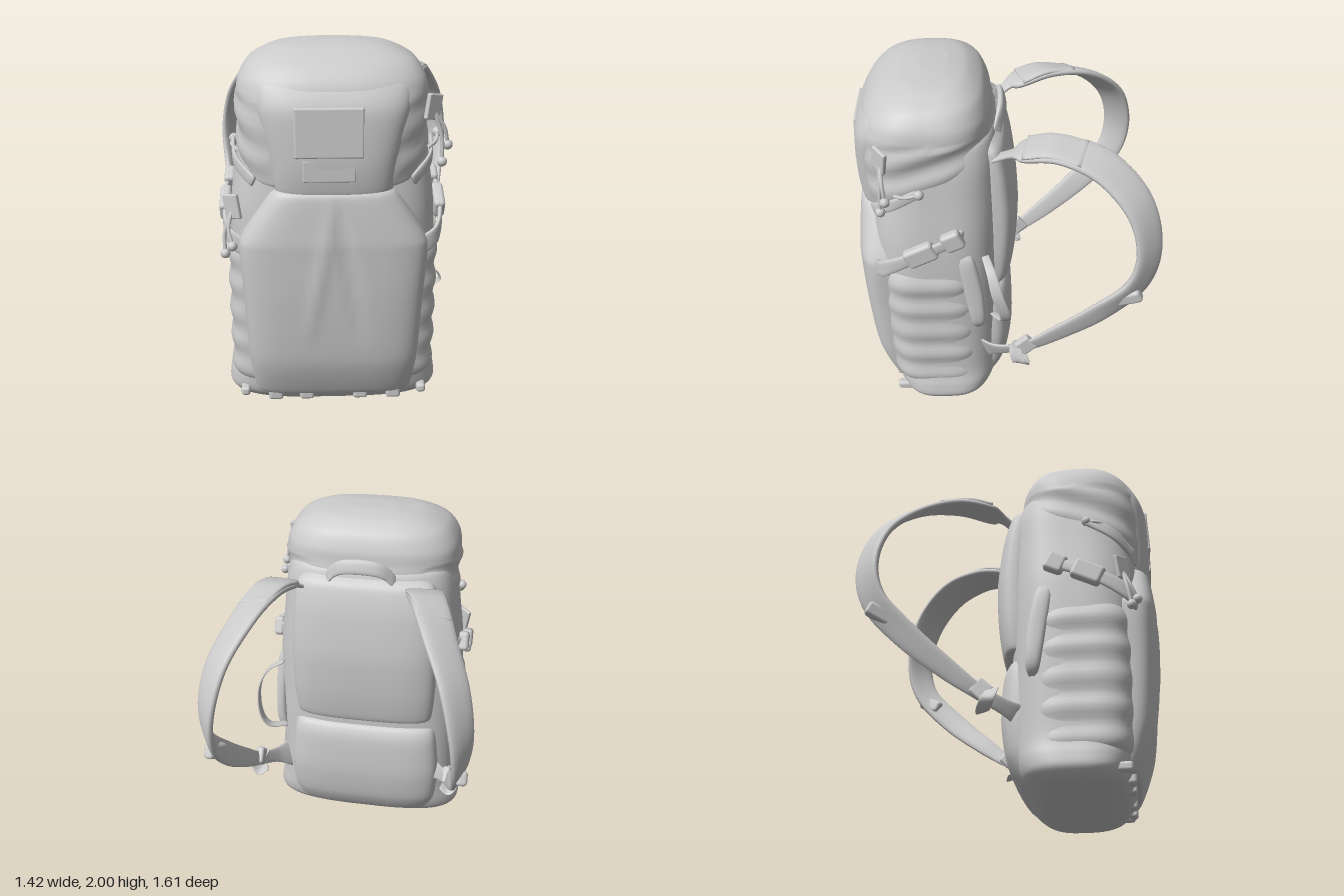
import * as THREE from 'three';
import { RoundedBoxGeometry } from 'three/addons/geometries/RoundedBoxGeometry.js';

const mat = new THREE.MeshStandardMaterial({ color: 0xcccccc, roughness: 0.8 });
const V = (x, y, z) => new THREE.Vector3(x, y, z);
const CX = -0.045; // the sack sits slightly off centre

function add(parent, name, geo, x = 0, y = 0, z = 0) {
  const m = new THREE.Mesh(geo, mat);
  m.name = name;
  m.position.set(x, y, z);
  parent.add(m);
  return m;
}

// Skin a list of closed rings of points and cap both ends.
function skin(rings) {
  const n = rings[0].length, pos = [], idx = [];
  rings.forEach(r => r.forEach(p => pos.push(p.x, p.y, p.z)));
  for (let i = 0; i < rings.length - 1; i++) for (let j = 0; j < n; j++) {
    const a = i * n + j, b = i * n + (j + 1) % n;
    idx.push(a, b, b + n, a, b + n, a + n);
  }
  [0, rings.length - 1].forEach((i, end) => {
    const c = V(0, 0, 0), k = pos.length / 3;
    rings[i].forEach(p => c.addScaledVector(p, 1 / n));
    pos.push(c.x, c.y, c.z);
    for (let j = 0; j < n; j++) {
      const a = i * n + j, b = i * n + (j + 1) % n;
      if (end) idx.push(k, a, b); else idx.push(k, b, a);
    }
  });
  const g = new THREE.BufferGeometry();
  g.setAttribute('position', new THREE.Float32BufferAttribute(pos, 3));
  g.setIndex(idx);
  g.computeVertexNormals();
  return g;
}

// Superellipse point on the unit square, evenly spread by angle.
function superPoint(a, e) {
  const c = Math.cos(a), s = Math.sin(a);
  const r = Math.pow(Math.abs(c) ** e + Math.abs(s) ** e, -1 / e);
  return [r * c, r * s];
}

// Stuffed volume from rows [y, halfWidth, zBack, zFront, tilt]; warp may move each point.
function stuffed(rows, e, warp = () => {}, sub = 6) {
  const A = new THREE.CatmullRomCurve3(rows.map(r => V(r[0], r[1], r[4] || 0)), false, 'catmullrom', 0.4);
  const B = new THREE.CatmullRomCurve3(rows.map(r => V(r[2], r[3], 0)), false, 'catmullrom', 0.4);
  const N = (rows.length - 1) * sub, rings = [];
  for (let i = 0; i <= N; i++) {
    const a = A.getPoint(i / N), b = B.getPoint(i / N), ring = [];
    for (let j = 0; j < 96; j++) {
      const [c, s] = superPoint(j / 96 * Math.PI * 2, e);
      const p = V(CX + a.y * s, a.x, (b.x + b.y) / 2 + (b.y - b.x) / 2 * c);
      p.y += a.z * (0.4 - p.z);
      warp(p);
      ring.push(p);
    }
    rings.push(ring);
  }
  return skin(rings);
}

// Band along points [x, y, z, wx, wy, wz, width, thickness], w being the width direction.
function band(pts, s = 1, dx = 0, sub = 8) {
  const curve = f => new THREE.CatmullRomCurve3(pts.map(f), false, 'catmullrom', 0.5);
  const P = curve(p => V(s * p[0] + dx, p[1], p[2])), W = curve(p => V(s * p[3], p[4], p[5]));
  const S = curve(p => V(p[6], p[7], 0)), N = (pts.length - 1) * sub, rings = [];
  for (let i = 0; i <= N; i++) {
    const t = i / N, o = P.getPoint(t), tan = P.getTangent(t), w = W.getPoint(t), d = S.getPoint(t);
    w.addScaledVector(tan, -w.dot(tan)).normalize();
    const v = tan.clone().cross(w), ring = [];
    for (let j = 0; j < 20; j++) {
      const [a, b] = superPoint(j / 20 * Math.PI * 2, 3.5);
      ring.push(o.clone().addScaledVector(w, a * d.x / 2).addScaledVector(v, b * d.y / 2));
    }
    rings.push(ring);
  }
  return skin(rings);
}

const box = (w, h, d) => new RoundedBoxGeometry(w, h, d, 3, Math.min(w, h, d) * 0.35);
const gauss = (x, w) => Math.exp(-(x * x) / (w * w));

export function createModel() {
  const g = new THREE.Group();
  g.name = 'backpack';

  // Main sack with a rounded base and a slight rim
  add(g, 'mainSack', stuffed([
    [0, 0.25, 0.22, 0.42], [0.012, 0.4, 0.16, 0.5], [0.05, 0.53, 0.1, 0.585], [0.1, 0.575, 0.05, 0.63],
    [0.17, 0.57, 0.02, 0.655], [0.3, 0.545, 0, 0.68], [0.8, 0.545, 0, 0.71], [1.15, 0.535, 0, 0.72],
    [1.4, 0.505, 0, 0.7], [1.6, 0.48, 0.01, 0.66], [1.72, 0.44, 0.04, 0.6], [1.76, 0.36, 0.1, 0.55]], 3.3));

  // Quilted side pockets, one volume showing on both sides
  add(g, 'sidePockets', stuffed([
    [0.16, 0.52, 0.14, 0.62], [0.22, 0.548, 0.09, 0.66], [0.45, 0.552, 0.08, 0.68],
    [0.75, 0.552, 0.09, 0.69], [0.95, 0.55, 0.11, 0.68], [1.02, 0.52, 0.16, 0.64]], 4,
    p => { p.x += Math.sign(p.x - CX) * 0.008 * Math.sin((p.y - 0.2) * Math.PI * 2 / 0.165); }, 10));

  // Front stretch panel with two pleats fanning from the top
  add(g, 'frontPanel', stuffed([
    [0.115, 0.39, 0.4, 0.62], [0.13, 0.425, 0.38, 0.67], [0.35, 0.45, 0.4, 0.75], [0.7, 0.468, 0.42, 0.785],
    [0.97, 0.485, 0.42, 0.795], [1.06, 0.465, 0.42, 0.795], [1.27, 0.335, 0.42, 0.775], [1.31, 0.3, 0.45, 0.74]], 4,
    p => {
      if (p.z < 0.66) return;
      const k = Math.min(1, Math.max(0, (1.3 - p.y) / 0.85)), fade = Math.sin(Math.PI * k);
      p.z += fade * (0.012 * gauss(p.x + 0.05 + 0.13 * k, 0.035) - 0.016 * gauss(p.x + 0.04 - 0.15 * k, 0.03));
    }, 8));

  // Lid with its sloping lower edge and loose folds at the sides
  add(g, 'lid', stuffed([
    [1.47, 0.44, 0.1, 0.68, 0.5], [1.47, 0.485, 0.06, 0.73, 0.5], [1.58, 0.485, 0.04, 0.75, 0.35],
    [1.73, 0.49, 0.05, 0.755, 0.1], [1.83, 0.475, 0.06, 0.72, 0], [1.915, 0.415, 0.1, 0.65, 0],
    [1.975, 0.29, 0.18, 0.54, 0], [1.998, 0.12, 0.28, 0.42, 0]], 3,
    p => {
      const side = Math.abs(p.x - CX);
      if (side > 0.3 && p.y < 1.75) p.x += Math.sign(p.x - CX) * 0.01 * Math.sin(p.y * 38 + p.z * 14);
    }));
  add(g, 'lidFrontFlap', stuffed([
    [1.27, 0.28, 0.5, 0.74], [1.3, 0.305, 0.48, 0.765], [1.45, 0.325, 0.46, 0.785],
    [1.7, 0.38, 0.45, 0.775], [1.82, 0.385, 0.45, 0.72], [1.88, 0.35, 0.45, 0.66]], 3.2));
  add(g, 'lidPatch', box(0.34, 0.25, 0.03), -0.07, 1.61, 0.768).rotation.x = -0.04;
  add(g, 'lidPatchLower', box(0.26, 0.11, 0.02), -0.07, 1.42, 0.774);

  // Back padding
  add(g, 'upperBackPad', stuffed([
    [0.8, 0.36, 0, 0.15], [0.82, 0.395, -0.05, 0.15], [1.0, 0.41, -0.08, 0.15], [1.25, 0.41, -0.09, 0.15],
    [1.5, 0.4, -0.06, 0.15], [1.65, 0.38, -0.015, 0.15], [1.7, 0.32, 0.04, 0.15]], 2.9));
  add(g, 'lumbarPad', stuffed([
    [0.06, 0.36, 0.12, 0.3], [0.1, 0.41, 0.04, 0.28], [0.23, 0.44, -0.03, 0.25], [0.43, 0.45, -0.06, 0.24],
    [0.65, 0.43, -0.05, 0.22], [0.73, 0.41, -0.02, 0.2], [0.76, 0.37, 0.03, 0.2]], 3.3));

  // Grab handle
  add(g, 'grabHandle', band([
    [-0.22, 1.64, 0.04, 0, 1, 0.3, 0.05, 0.015], [-0.18, 1.72, 0.02, 0, 1, 0.3, 0.06, 0.02],
    [-0.1, 1.77, 0, 0, 1, 0.3, 0.08, 0.035], [0.06, 1.77, 0, 0, 1, 0.3, 0.08, 0.035],
    [0.14, 1.72, 0.02, 0, 1, 0.3, 0.06, 0.02], [0.18, 1.64, 0.04, 0, 1, 0.3, 0.05, 0.015]]));

  // Webbing tabs under the front panel
  [-0.36, -0.19, 0.1, 0.28].forEach(x => add(g, 'bottomTab', box(0.08, 0.07, 0.05), x, 0.1, 0.615));

  for (const s of [1, -1]) {
    const side = new THREE.Group();
    side.name = s > 0 ? 'leftSide' : 'rightSide';
    g.add(side);

    // Shoulder strap: narrow webbing, padded arc that twists, webbing back to the base
    add(side, 'shoulderStrap', band([
      [0.3, 1.6, 0.06, 0.95, 0, 0.3, 0.08, 0.025], [0.36, 1.67, -0.04, 0.95, 0, 0.3, 0.08, 0.025],
      [0.38, 1.7, -0.11, 0.95, -0.1, 0.3, 0.19, 0.04], [0.43, 1.73, -0.29, 0.95, -0.2, 0.3, 0.2, 0.045],
      [0.5, 1.67, -0.5, 0.85, -0.38, 0.4, 0.2, 0.045], [0.595, 1.5, -0.67, 0.72, -0.3, 0.65, 0.19, 0.045],
      [0.65, 1.26, -0.735, 0.6, 0, 0.8, 0.17, 0.045], [0.655, 1.03, -0.685, 0.4, 0.3, 0.8, 0.15, 0.045],
      [0.63, 0.82, -0.5, 0.2, 0.65, 0.7, 0.14, 0.035], [0.59, 0.64, -0.29, 0.15, 0.7, 0.65, 0.11, 0.03],
      [0.56, 0.52, -0.13, 0.15, 0.7, 0.65, 0.08, 0.02], [0.5, 0.44, 0.02, 0.15, 0.8, 0.5, 0.09, 0.02],
      [0.43, 0.4, 0.12, 0.15, 0.9, 0.3, 0.18, 0.02]], s));
    add(side, 'strapOverlay', band([
      [0.38, 1.717, -0.11, 0.95, -0.1, 0.3, 0.2, 0.03], [0.415, 1.746, -0.24, 0.95, -0.17, 0.3, 0.19, 0.035],
      [0.465, 1.727, -0.4, 0.92, -0.28, 0.35, 0.18, 0.025]], s));
    add(side, 'strapBuckle', box(0.06, 0.08, 0.15), s * 0.65, 0.95, -0.65).rotation.set(0.5, -s * 0.3, 0);
    add(side, 'ladderBuckle', box(0.045, 0.1, 0.1), s * 0.56, 0.53, -0.12).rotation.x = 0.75;

    // Loose webbing end hanging in a curl below the ladder buckle
    add(side, 'webbingCurl', band([
      [0.53, 0.52, -0.08, 0, 0.3, 1, 0.05, 0.01], [0.59, 0.52, -0.06, 0, 0.3, 1, 0.07, 0.01],
      [0.62, 0.46, -0.08, 0, 0.3, 1, 0.07, 0.01], [0.58, 0.41, -0.11, 0, 0.3, 1, 0.07, 0.01],
      [0.53, 0.43, -0.1, 0, 0.3, 1, 0.05, 0.01]], s));

    // Padded fin along the rear of the side pocket
    add(side, 'sideFin', band([
      [0.49, 1.11, 0.21, 0, 0, 1, 0.05, 0.04], [0.515, 1.05, 0.2, 0, 0, 1, 0.09, 0.06],
      [0.525, 0.85, 0.165, 0, 0, 1, 0.1, 0.06], [0.525, 0.67, 0.145, 0, 0, 1, 0.08, 0.06],
      [0.5, 0.6, 0.145, 0, 0, 1, 0.05, 0.04]], s, CX));

    // Compression strap with its buckle halves
    add(side, 'compressionStrap', band([
      [0.43, 0.98, 0.7, 0, 1, 0, 0.1, 0.025], [0.53, 1.04, 0.64, 0, 1, 0, 0.09, 0.025],
      [0.565, 1.13, 0.48, 0, 1, 0, 0.07, 0.025], [0.55, 1.22, 0.28, 0, 1, 0, 0.06, 0.025],
      [0.49, 1.25, 0.2, 0, 1, 0, 0.06, 0.025]], s, CX));
    add(side, 'compressionBuckle', box(0.06, 0.11, 0.17), s * 0.56 + CX, 1.15, 0.44).rotation.x = 0.45;
    add(side, 'compressionAnchor', box(0.06, 0.11, 0.11), s * 0.545 + CX, 1.225, 0.27).rotation.x = 0.45;

    // Upper diagonal lid strap
    add(side, 'lidStrap', band([
      [0.4, 1.34, 0.68, 0, 1, 0, 0.06, 0.02], [0.49, 1.42, 0.58, 0, 1, 0, 0.06, 0.02],
      [0.51, 1.5, 0.44, 0, 1, 0, 0.05, 0.02]], s, CX));

    // Zip pulls: cords ending in toggles
    const tails = s > 0 ? [[0.5, 1.42, 0.63], [0.53, 1.5, 0.6], [0.5, 1.52, 0.43]]
      : [[-0.6, 0.95, 0.66], [-0.56, 1.0, 0.69], [-0.55, 1.5, 0.44]];
    const top = s > 0 ? V(0.45, 1.68, 0.62) : V(-0.56, 1.17, 0.62);
    tails.forEach(([x, y, z], i) => {
      const from = i < 2 ? top : V(s * 0.48 + CX, 1.47, 0.56);
      const mid = from.clone().lerp(V(x, y, z), 0.5).add(V(s * 0.02, 0, 0));
      add(side, 'pullCord', new THREE.TubeGeometry(new THREE.CatmullRomCurve3([from, mid, V(x, y, z)]), 12, 0.01, 8));
      add(side, 'pullToggle', new THREE.SphereGeometry(0.026, 14, 10), x, y, z);
    });
    add(side, 'pullTab', box(0.1, 0.13, 0.025), top.x, top.y + 0.02, top.z).rotation.set(0, s * 0.7, s * -0.2);

    // Small lugs at the lower front corners
    add(side, 'cornerLug', box(0.05, 0.05, 0.09), s * 0.48 + CX, 0.11, 0.58);
  }

  // Slack webbing loop on the left side
  add(g, 'slackLoop', band([
    [0.45, 1.08, 0.1, 0, 0, 1, 0.04, 0.012], [0.54, 1.03, 0.07, 0, 0, 1, 0.05, 0.012],
    [0.59, 0.92, 0.04, 0, 0, 1, 0.06, 0.012], [0.58, 0.78, 0, 0, 0, 1, 0.06, 0.012],
    [0.53, 0.69, 0, 0, 0, 1, 0.05, 0.012], [0.44, 0.66, 0.06, 0, 0, 1, 0.04, 0.012]]));
  return g;
}
